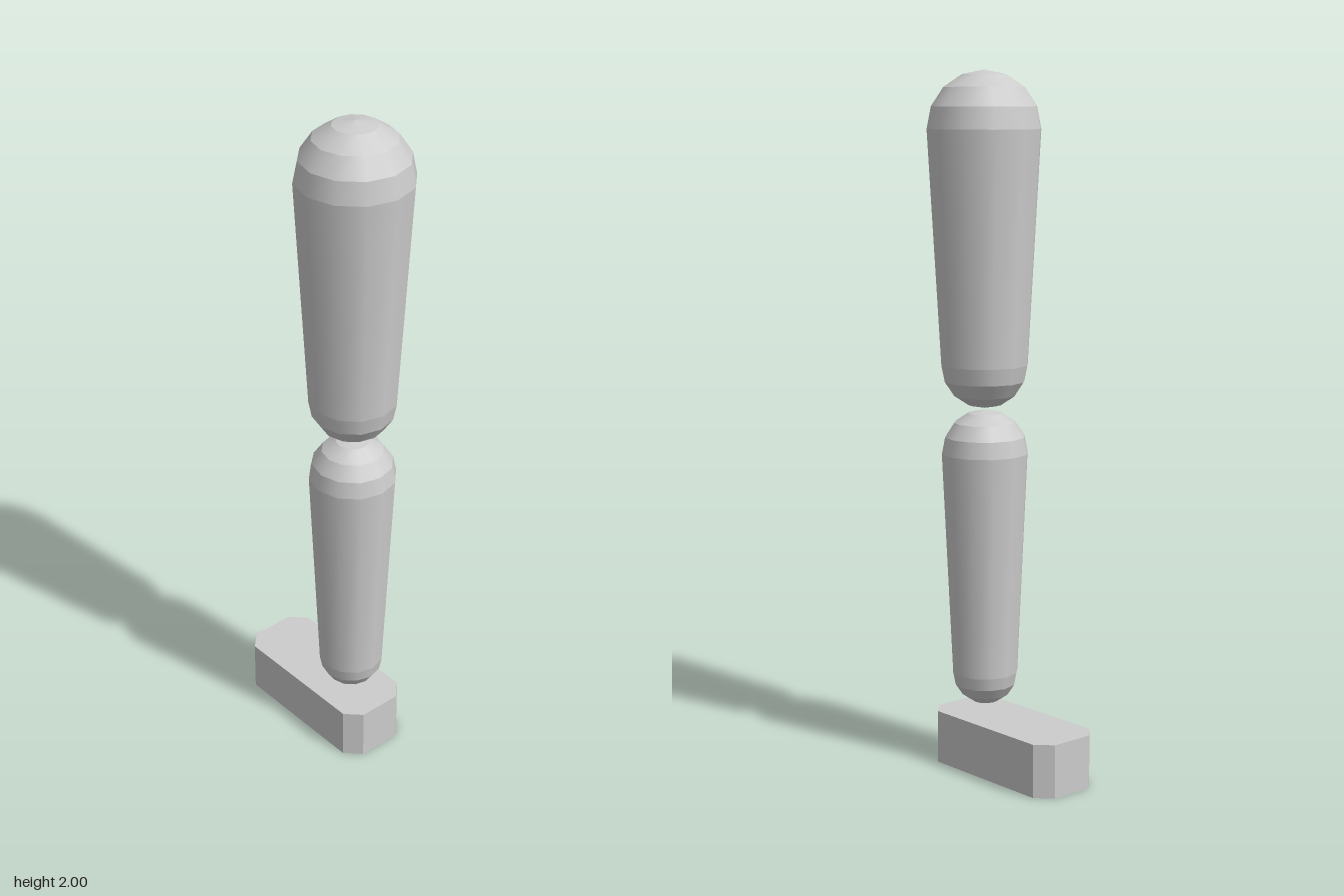
import * as THREE from 'three';
import { mergeGeometries } from 'three/addons/utils/BufferGeometryUtils.js';

const SIDES = 12;
const RINGS = 4;

// Tapered capsule: round around its axis, with a crease at every ring
function taperedCapsule(bottomY, bottomR, topY, topR) {
  const profile = [];
  for (let i = 0; i <= RINGS; i++) {
    const a = (i / RINGS) * Math.PI / 2;
    profile.push([bottomR * Math.sin(a), bottomY + bottomR * (1 - Math.cos(a))]);
  }
  for (let i = 0; i <= RINGS; i++) {
    const a = (i / RINGS) * Math.PI / 2;
    profile.push([i === RINGS ? 0 : topR * Math.cos(a), topY - topR * (1 - Math.sin(a))]);
  }
  const bands = [];
  for (let i = 0; i < profile.length - 1; i++) {
    const [r0, y0] = profile[i];
    const [r1, y1] = profile[i + 1];
    const band = new THREE.CylinderGeometry(r1, r0, y1 - y0, SIDES, 1, true);
    band.translate(0, (y0 + y1) / 2, 0);
    bands.push(band);
  }
  return mergeGeometries(bands);
}

// Block with its four upright edges chamfered
function chamferedBlock(halfWidth, back, front, height, chamfer) {
  const w = halfWidth, c = chamfer;
  const outline = [
    [-w + c, -front], [w - c, -front], [w, -front + c], [w, -back - c],
    [w - c, -back], [-w + c, -back], [-w, -back - c], [-w, -front + c],
  ].map(([x, y]) => new THREE.Vector2(x, y));
  const geometry = new THREE.ExtrudeGeometry(new THREE.Shape(outline), { depth: height, bevelEnabled: false });
  return geometry.rotateX(-Math.PI / 2);
}

export function createModel() {
  const group = new THREE.Group();
  group.name = 'leg';
  const grey = new THREE.MeshStandardMaterial({ color: 0xcccccc });
  grey.name = 'light grey';

  const add = (name, geometry, z = 0) => {
    const mesh = new THREE.Mesh(geometry, grey);
    mesh.name = name;
    mesh.position.z = z;
    group.add(mesh);
  };

  // Limb segments stand over the front of the foot
  const legZ = 0.103;
  add('thigh', taperedCapsule(1.05, 0.125, 2, 0.163), legZ);
  add('shin', taperedCapsule(0.18, 0.095, 1.045, 0.125), legZ);

  // Foot extends backward
  add('foot', chamferedBlock(0.108, -0.267, 0.234, 0.154, 0.043));
  return group;
}
